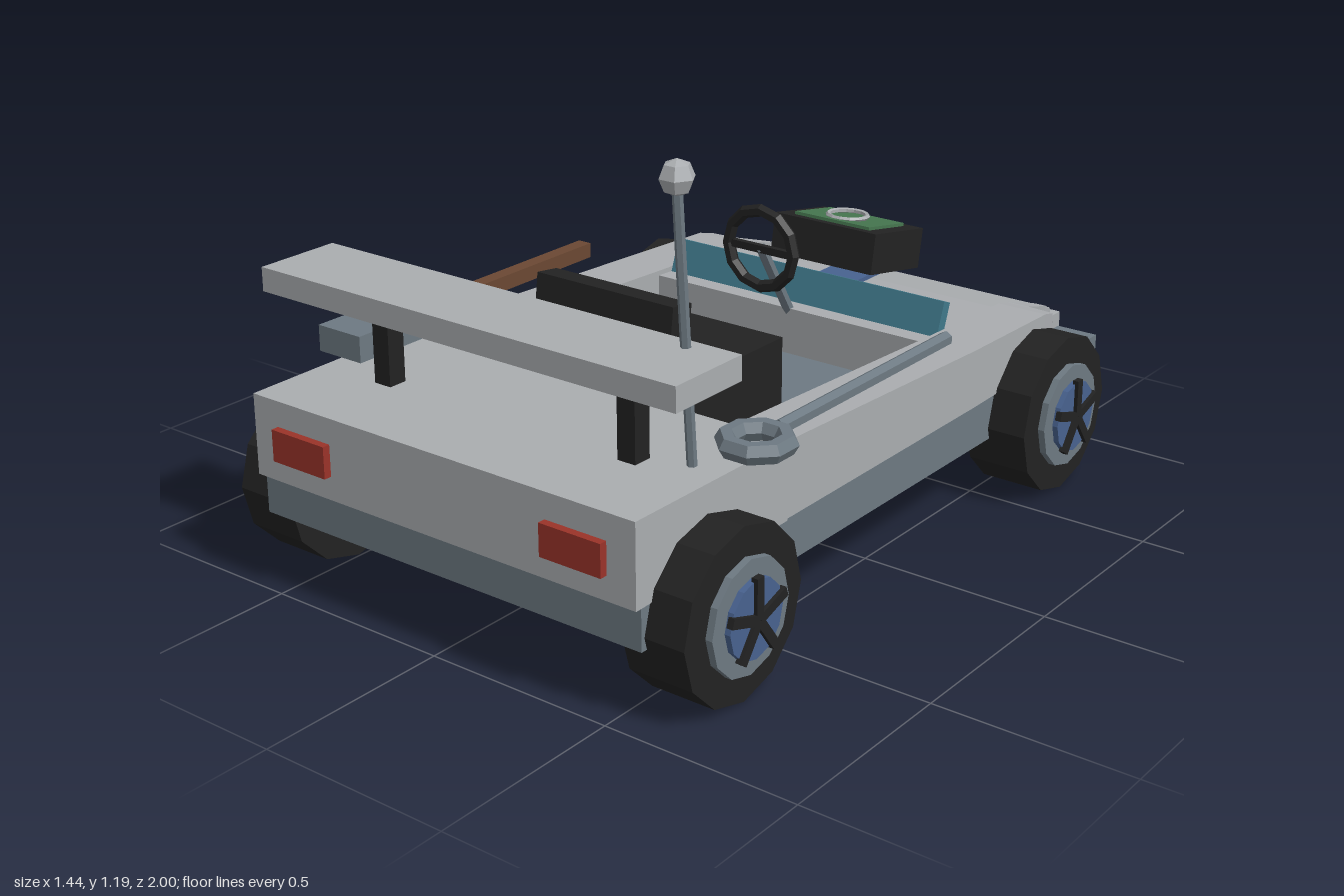
import * as THREE from 'three';

const mat = (name, color) => {
  const m = new THREE.MeshStandardMaterial({ color });
  m.name = name;
  return m;
};

// Faceted normals for round low-poly parts
const facet = (g) => {
  const f = g.index ? g.toNonIndexed() : g;
  f.computeVertexNormals();
  return f;
};

// Loft of four-cornered sections ordered from +z to -z: [z, x0, x1, y0, y1, zTop]
function loft(sections) {
  const pos = [];
  const rings = sections.map(([z, x0, x1, y0, y1, zt = z]) =>
    [[x0, y0, z], [x1, y0, z], [x1, y1, zt], [x0, y1, zt]]);
  const quad = (a, b, c, d) => pos.push(...a, ...b, ...c, ...a, ...c, ...d);
  for (let s = 0; s < rings.length - 1; s++) {
    const a = rings[s], b = rings[s + 1];
    for (let i = 0; i < 4; i++) {
      const j = (i + 1) % 4;
      quad(a[i], b[i], b[j], a[j]);
    }
  }
  quad(...rings[0]);
  quad(...[...rings[rings.length - 1]].reverse());
  const g = new THREE.BufferGeometry();
  g.setAttribute('position', new THREE.Float32BufferAttribute(pos, 3));
  g.computeVertexNormals();
  return g;
}

export function createModel() {
  const root = new THREE.Group();
  root.name = 'buggy';
  const light = mat('light grey', 0xaaadb0), steel = mat('steel grey', 0x6d7982);
  const black = mat('black', 0x222222), red = mat('lamp red', 0x9a3329);
  const teal = mat('teal', 0x40788a), blue = mat('blue', 0x48628f);
  const green = mat('screen green', 0x45764f), wood = mat('brown', 0x6b4833);

  const add = (name, geo, material, x = 0, y = 0, z = 0, parent = root) => {
    const m = new THREE.Mesh(geo, material);
    m.name = name;
    m.position.set(x, y, z);
    parent.add(m);
    return m;
  };
  const box = (name, material, w, h, d, x, y, z, parent) =>
    add(name, new THREE.BoxGeometry(w, h, d), material, x, y, z, parent);
  const rod = (name, material, a, b, r, sides = 6) => {
    const p = new THREE.Vector3(...a), q = new THREE.Vector3(...b);
    const dir = q.clone().sub(p);
    const m = add(name, facet(new THREE.CylinderGeometry(r, r, dir.length(), sides)), material);
    m.position.copy(p).add(q).multiplyScalar(0.5);
    m.quaternion.setFromUnitVectors(new THREE.Vector3(0, 1, 0), dir.normalize());
    return m;
  };

  // Lower body, cockpit floor, rear deck and hood
  add('skirt', loft([[0.96, -0.57, 0.57, 0.18, 0.3], [-0.89, -0.57, 0.57, 0.18, 0.3]]), steel);
  box('cockpitFloor', steel, 0.86, 0.02, 0.82, 0, 0.305, 0.045);
  add('rearDeck', loft([[0.98, -0.573, 0.573, 0.285, 0.49], [0.45, -0.58, 0.58, 0.295, 0.49]]), light);
  add('hood', loft([
    [-0.36, -0.435, 0.435, 0.29, 0.442], [-0.75, -0.435, 0.435, 0.29, 0.42],
    [-0.885, -0.46, 0.46, 0.29, 0.39], [-0.89, -0.46, 0.46, 0.205, 0.388],
    [-0.98, -0.465, 0.465, 0.205, 0.375, -0.95],
  ]), light);

  // Side rails that taper in front of the front wheels
  for (const s of [1, -1]) {
    const sec = (z, xi, xo, y0, y1, zt) =>
      [z, s > 0 ? xi : -xo, s > 0 ? xo : -xi, y0, y1, zt];
    add(s > 0 ? 'leftRail' : 'rightRail', loft([
      sec(0.45, 0.43, 0.58, 0.3, 0.49), sec(-0.36, 0.43, 0.578, 0.3, 0.455),
      sec(-0.73, 0.43, 0.57, 0.3, 0.442), sec(-0.78, 0.43, 0.565, 0.3, 0.43),
      sec(-0.785, 0.43, 0.49, 0.3, 0.43), sec(-0.95, 0.43, 0.465, 0.3, 0.385, -0.93),
    ]), light);

    // Lamps and bumper brackets
    box('tailLight', red, 0.17, 0.08, 0.03, s * 0.41, 0.385, 0.985);
    box('headlight', light, 0.15, 0.07, 0.04, s * 0.395, 0.315, -0.98);
    box('bumperBracket', steel, 0.09, 0.08, 0.12, s * 0.51, 0.27, -0.88);

    // Spoiler strut
    box('spoilerStrut', black, 0.05, 0.24, 0.05, s * 0.37, 0.6, 0.735);
  }
  box('bumper', steel, 1.18, 0.085, 0.07, -0.003, 0.267, -0.96);
  box('spoiler', light, 1.225, 0.06, 0.225, 0, 0.74, 0.782);

  // Wheels
  const disc = (r, w) => facet(new THREE.CylinderGeometry(r, r, w, 12).rotateZ(Math.PI / 2));
  const tyreGeo = disc(0.21, 0.17), rimGeo = disc(0.138, 0.02), hubGeo = disc(0.095, 0.02);
  for (const s of [1, -1]) for (const z of [0.74, -0.665]) {
    const wheel = new THREE.Group();
    wheel.name = (s > 0 ? 'left' : 'right') + (z < 0 ? 'Front' : 'Rear') + 'Wheel';
    wheel.position.set(s * 0.59, 0.21, z);
    root.add(wheel);
    add('tyre', tyreGeo, black, 0, 0, 0, wheel);
    add('rim', rimGeo, steel, s * 0.093, 0, 0, wheel);
    add('hubDisc', hubGeo, blue, s * 0.108, 0, 0, wheel);
    for (let i = 0; i < 5; i++) {
      const g = new THREE.BoxGeometry(0.016, 0.1, 0.024).translate(0, 0.052, 0);
      const spoke = add('spoke', g, black, s * 0.12, 0, 0, wheel);
      spoke.rotation.x = i * Math.PI * 0.4;
    }
  }

  // Seat
  box('seatBase', black, 0.415, 0.185, 0.46, 0, 0.407, 0.18);
  const back = new THREE.Group();
  back.name = 'seatBack';
  back.position.set(0, 0.585, 0.367);
  back.rotation.x = -0.13;
  root.add(back);
  box('backrest', black, 0.415, 0.23, 0.07, 0, 0, 0, back);
  box('backrestPad', steel, 0.31, 0.14, 0.02, 0, 0.02, -0.043, back);

  // Steering wheel and column
  add('steeringWheel', facet(new THREE.TorusGeometry(0.103, 0.017, 6, 12)), black, 0, 0.638, -0.243);
  box('steeringSpoke', black, 0.2, 0.02, 0.015, 0, 0.638, -0.243);
  rod('steeringColumn', steel, [0, 0.64, -0.245], [0, 0.42, -0.38], 0.015);

  // Windscreen strip and hood stripe
  box('windscreen', teal, 0.86, 0.1, 0.03, 0, 0.475, -0.446).rotation.x = -0.35;
  box('hoodStripe', blue, 0.125, 0.012, 0.43, 0, 0.458, -0.685);

  // Tilted display unit on the hood
  const unit = new THREE.Group();
  unit.name = 'displayUnit';
  unit.position.set(0, 0.557, -0.642);
  unit.rotation.x = -0.18;
  root.add(unit);
  box('displayCase', black, 0.325, 0.11, 0.24, 0, 0, 0, unit);
  box('displayScreen', green, 0.24, 0.009, 0.175, 0, 0.059, 0, unit);
  const dial = facet(new THREE.TorusGeometry(0.054, 0.007, 5, 14).rotateX(Math.PI / 2));
  add('displayRing', dial, light, 0, 0.07, 0.01, unit).rotation.x = 0.1;

  // Aerial
  rod('aerial', steel, [0.493, 0.47, 0.685], [0.493, 1.13, 0.735], 0.012);
  add('aerialTip', facet(new THREE.SphereGeometry(0.041, 6, 4)), light, 0.493, 1.15, 0.735);

  // Tools along the rails
  rod('toolHandle', steel, [0.575, 0.53, 0.48], [0.575, 0.53, -0.22], 0.019);
  add('toolRing', facet(new THREE.TorusGeometry(0.07, 0.026, 6, 8).rotateX(Math.PI / 2).rotateY(Math.PI / 8)),
    steel, 0.573, 0.525, 0.56);
  box('hammerHandle', wood, 0.04, 0.04, 0.72, -0.58, 0.525, 0.135);
  box('hammerHead', steel, 0.14, 0.068, 0.21, -0.58, 0.525, 0.59);

  return root;
}
